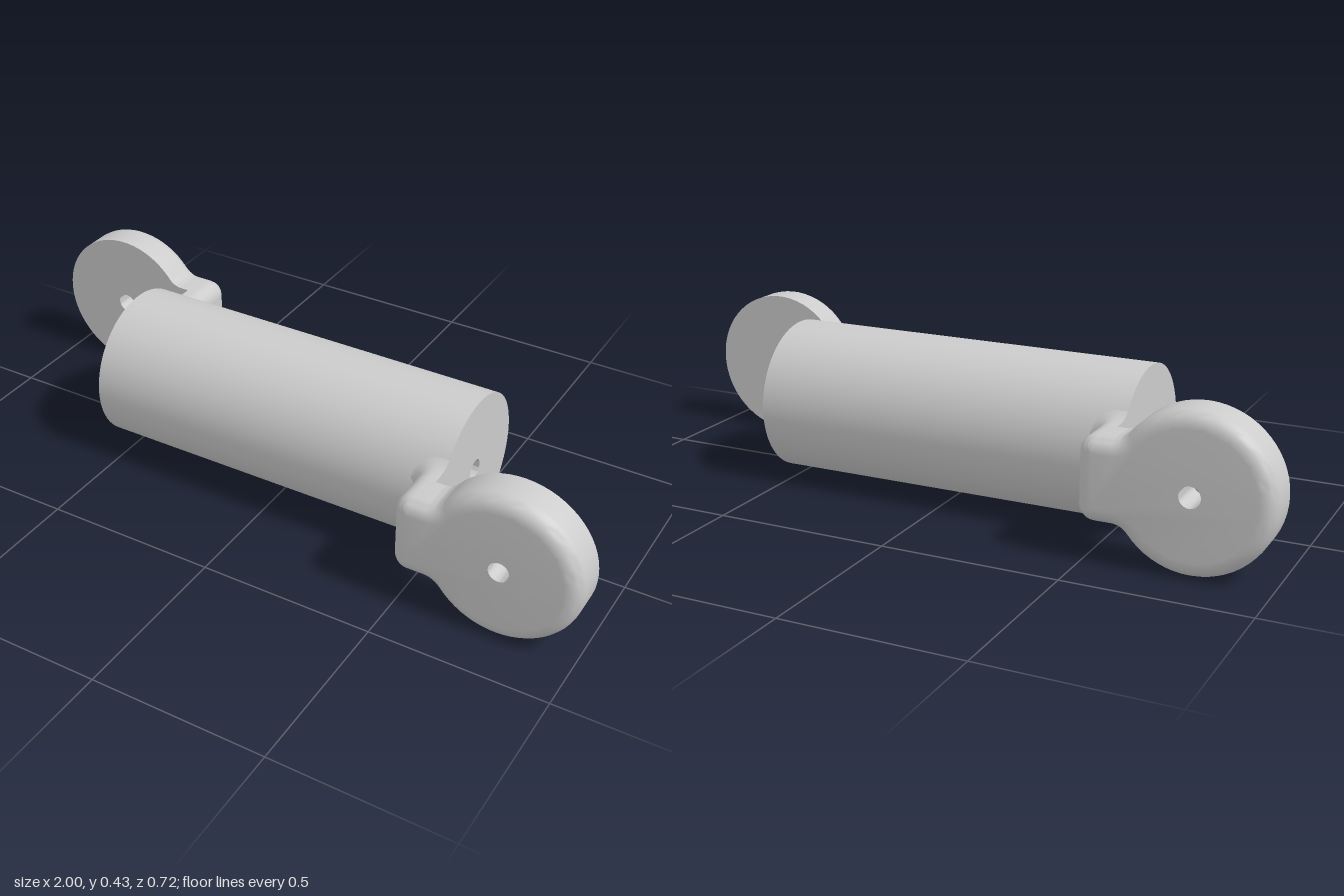
import * as THREE from 'three';
import { mergeGeometries, toCreasedNormals } from 'three/addons/utils/BufferGeometryUtils.js';

const R = 0.217;        // radius of body and eye discs
const END = 0.547;      // half length of body
const HOLE = 0.029;
const EYE_X = 0.783;    // centre of the eye
const NECK_X = 0.481, NECK_H = 0.115, CORNER = 0.045, FILLET = 0.05;
const Z_IN = 0.246, Z_OUT = 0.361, BEVEL = 0.042;

// Points along an arc, both ends included
function arc(cx, cy, r, a0, a1, n) {
  return Array.from({ length: n + 1 }, (_, i) => {
    const a = a0 + (a1 - a0) * i / n;
    return new THREE.Vector2(cx + r * Math.cos(a), cy + r * Math.sin(a));
  });
}

// The two rounded corners of the neck, inset by d
const neckCorners = d => [
  ...arc(NECK_X + CORNER, NECK_H - CORNER, CORNER - d, Math.PI / 2, Math.PI, 6),
  ...arc(NECK_X + CORNER, CORNER - NECK_H, CORNER - d, Math.PI, Math.PI * 1.5, 6),
];

// Keyhole outline of eye plus neck, inset by d
function plateOutline(d) {
  const fy = NECK_H + FILLET;
  const fx = EYE_X - Math.sqrt((R + FILLET) ** 2 - fy ** 2);
  const a = Math.atan2(fy, fx - EYE_X);
  return [
    ...arc(EYE_X, 0, R - d, -a, a, 48),
    ...arc(fx, fy, FILLET + d, a - Math.PI, -Math.PI / 2, 6).slice(1),
    ...neckCorners(d),
    ...arc(fx, -fy, FILLET + d, Math.PI / 2, Math.PI - a, 6).slice(0, -1),
  ];
}

// U-shaped outline of the leg, flat at the body's end; extra points keep the sides even
function legOutline(d) {
  const y = NECK_H - d;
  return [new THREE.Vector2(END, y), ...neckCorners(d), new THREE.Vector2(END, -y)];
}

const atZ = (points, z) => points.map(p => new THREE.Vector3(p.x, p.y, z));

// Closed skin through rows of points
function loft(rows) {
  const n = rows[0].length, index = [];
  for (let i = 0; i < rows.length - 1; i++) {
    for (let j = 0; j < n; j++) {
      const a = i * n + j, b = i * n + (j + 1) % n;
      index.push(a, b, b + n, a, b + n, a + n);
    }
  }
  const g = new THREE.BufferGeometry().setFromPoints(rows.flat());
  g.setIndex(index);
  return g.toNonIndexed();
}

// Flat face with the pin hole cut out
function face(points, z, flip) {
  const shape = new THREE.Shape(points);
  shape.holes.push(new THREE.Path(arc(EYE_X, 0, HOLE, 0, Math.PI * 2, 24).slice(0, -1)));
  const g = new THREE.ShapeGeometry(shape).translate(0, 0, z);
  if (flip) g.index.array.reverse();
  g.deleteAttribute('uv');
  g.deleteAttribute('normal');
  return g.toNonIndexed();
}

function createBracket(material) {
  const bracket = new THREE.Group();

  // Eye plate, rounded over on its outer side
  const rows = [atZ(plateOutline(0), Z_IN)];
  for (let i = 0; i <= 6; i++) {
    const a = i / 6 * Math.PI / 2;
    rows.push(atZ(plateOutline(BEVEL * (1 - Math.cos(a))), Z_OUT - BEVEL + BEVEL * Math.sin(a)));
  }
  const hole = arc(EYE_X, 0, HOLE, 0, -Math.PI * 2, 24).slice(0, -1);
  const plate = mergeGeometries([
    loft(rows),
    loft([atZ(hole, Z_IN), atZ(hole, Z_OUT)]),
    face(plateOutline(0), Z_IN, true),
    face(plateOutline(BEVEL), Z_OUT, false),
  ]);
  const eye = new THREE.Mesh(toCreasedNormals(plate, 0.6), material);
  eye.name = 'eyePlate';

  // Leg, flaring out where it meets the round body
  const surface = p => Math.sqrt(R * R - p.y * p.y);
  const foot = legOutline(-0.036), top = legOutline(0);
  const legRows = [];
  for (let i = 0; i <= 8; i++) {
    const t = i / 8, u = 1 - t;
    legRows.push(foot.map((f, j) => {
      const q = top[j], s = surface(q);
      const k = u * u;
      return new THREE.Vector3(
        f.x * k + q.x * (1 - k),
        f.y * k + q.y * (1 - k),
        (surface(f) - 0.002) * k + s * 2 * u * t + Math.min(s + 0.036, Z_IN) * t * t);
    }));
  }
  legRows.push(atZ(top, Z_IN));
  const leg = new THREE.Mesh(toCreasedNormals(loft(legRows), 0.6), material);
  leg.name = 'bracketLeg';

  bracket.add(eye, leg);
  return bracket;
}

export function createModel() {
  const model = new THREE.Group();
  model.name = 'doubleEyeLink';
  const material = new THREE.MeshStandardMaterial({ color: 0xcccccc });

  // Round body with a blind hole in each end
  const depth = 0.15;
  const profile = [
    [0, depth - END], [HOLE, depth - END], [HOLE, -END], [R, -END],
    [R, END], [HOLE, END], [HOLE, END - depth], [0, END - depth],
  ].map(([r, y]) => new THREE.Vector2(r, y));
  const lathe = new THREE.LatheGeometry(profile, 64).rotateZ(-Math.PI / 2);
  const body = new THREE.Mesh(toCreasedNormals(lathe, 0.6), material);
  body.name = 'body';

  // The same bracket at both ends, turned half around
  const left = createBracket(material);
  left.name = 'leftBracket';
  const right = createBracket(material);
  right.name = 'rightBracket';
  right.rotation.y = Math.PI;

  model.add(body, left, right);
  model.children.forEach(part => { part.position.y = R; });
  return model;
}
